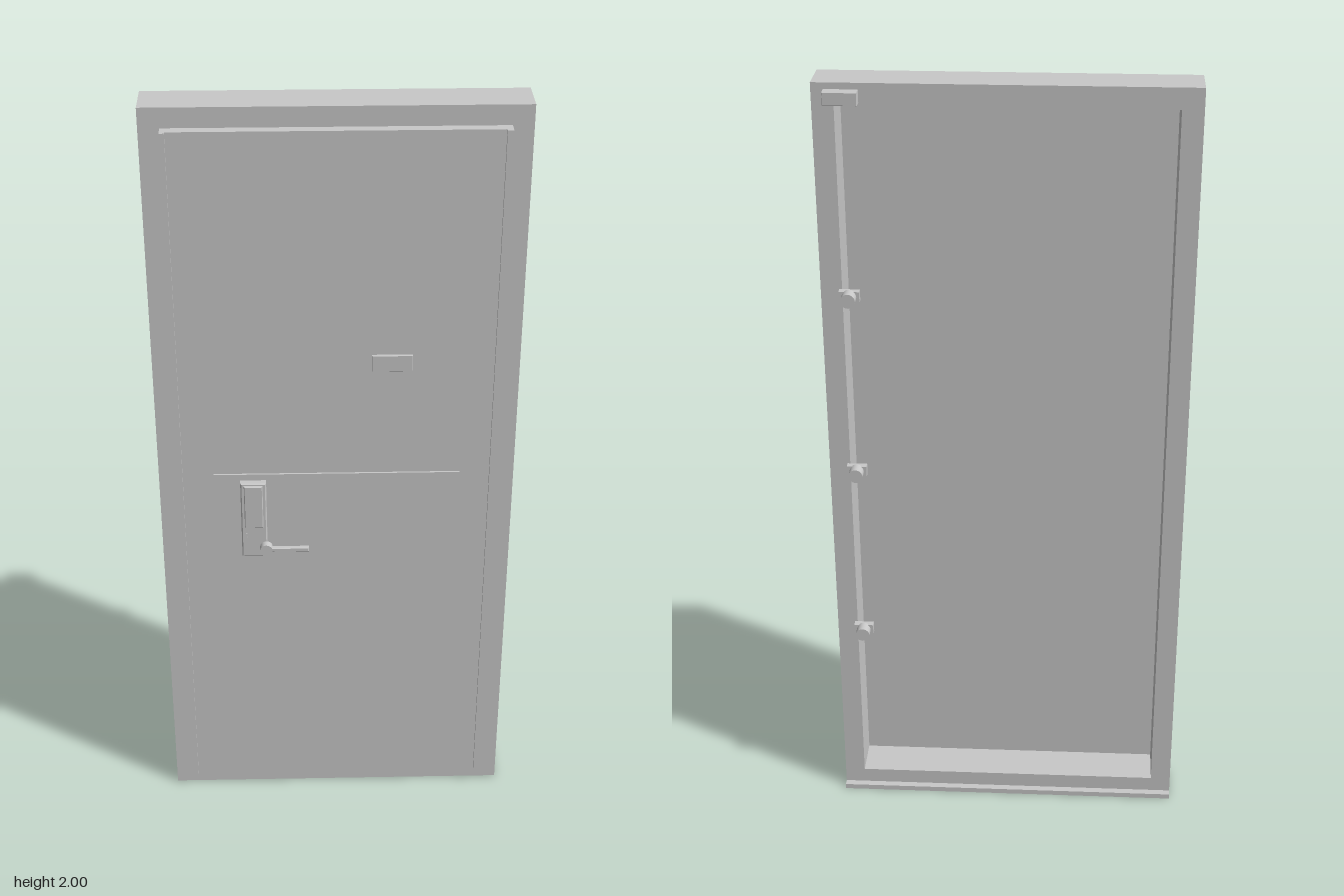
import * as THREE from 'three';

const steel = new THREE.MeshStandardMaterial({ color: 0xc8c8c8 });
steel.name = 'greySteel';

export function createModel() {
  const group = new THREE.Group();
  group.name = 'securityDoor';

  const add = (name, geometry, x = 0, y = 0, z = 0) => {
    const mesh = new THREE.Mesh(geometry, steel);
    mesh.name = name;
    mesh.position.set(x, y, z);
    group.add(mesh);
    return mesh;
  };
  // box given by its limits on each axis
  const box = (name, [x0, x1], [y0, y1], [z0, z1]) =>
    add(name, new THREE.BoxGeometry(x1 - x0, y1 - y0, z1 - z0),
      (x0 + x1) / 2, (y0 + y1) / 2, (z0 + z1) / 2);
  // plate with softened edges, given by its limits
  const plate = (name, [x0, x1], [y0, y1], [z0, z1], b = 0.002) => {
    const w = (x1 - x0) / 2 - b, h = (y1 - y0) / 2 - b;
    const s = new THREE.Shape([[-w, -h], [w, -h], [w, h], [-w, h]].map(p => new THREE.Vector2(...p)));
    const g = new THREE.ExtrudeGeometry(s, {
      depth: z1 - z0 - 2 * b, bevelThickness: b, bevelSize: b, bevelSegments: 1,
    });
    return add(name, g, (x0 + x1) / 2, (y0 + y1) / 2, z0 + b);
  };
  // cylinder lying along z
  const rod = (name, r, x, y, z0, z1) => {
    const g = new THREE.CylinderGeometry(r, r, z1 - z0, 24).rotateX(Math.PI / 2);
    return add(name, g, x, y, (z0 + z1) / 2);
  };

  // frame with an open back
  const outline = new THREE.Shape();
  outline.moveTo(-0.45, 0).lineTo(0.45, 0).lineTo(0.45, 2).lineTo(-0.45, 2).closePath();
  const opening = new THREE.Path();
  opening.moveTo(-0.398, 0.055).lineTo(-0.398, 1.948).lineTo(0.398, 1.948).lineTo(0.398, 0.055).closePath();
  outline.holes.push(opening);
  add('frame', new THREE.ExtrudeGeometry(outline, { depth: 0.107, bevelEnabled: false }), 0, 0, -0.072);
  box('sill', [-0.45, 0.45], [0, 0.014], [-0.09, -0.072]);

  // door leaf and its side lips
  box('doorPanel', [-0.4, 0.4], [0.052, 1.951], [0.035, 0.06]);
  box('lipRight', [-0.4, -0.388], [0.052, 1.951], [0.06, 0.068]);
  box('lipLeft', [0.385, 0.4], [0.052, 1.951], [0.06, 0.068]);
  box('trimLine', [-0.31, 0.31], [1.037, 1.043], [0.06, 0.065]);

  // small plate at eye height
  plate('namePlate', [0.085, 0.184], [1.342, 1.385], [0.071, 0.079], 0.001);

  // lock with sliding cover and lever
  plate('lockPlate', [-0.243, -0.178], [0.813, 1.033], [0.073, 0.093], 0.003);
  plate('lockCover', [-0.234, -0.187], [0.905, 1.028], [0.092, 0.1]);
  box('keySlot', [-0.232, -0.228], [0.83, 0.885], [0.092, 0.095]);
  rod('leverHub', 0.016, -0.181, 0.842, 0.092, 0.112);
  plate('leverHandle', [-0.181, -0.072], [0.836, 0.848], [0.098, 0.11]);

  // locking bolts on the back
  for (const y of [0.53, 1.005, 1.48]) {
    box('boltBase', [0.355, 0.405], [y - 0.014, y + 0.014], [-0.09, -0.072]);
    rod('bolt', 0.018, 0.38, y, -0.117, -0.085);
  }

  // block at the top corner of the back
  box('blockMount', [0.355, 0.405], [1.96, 1.98], [-0.077, -0.072]);
  plate('topBlock', [0.34, 0.42], [1.955, 1.986], [-0.105, -0.076], 0.001);

  return group;
}
